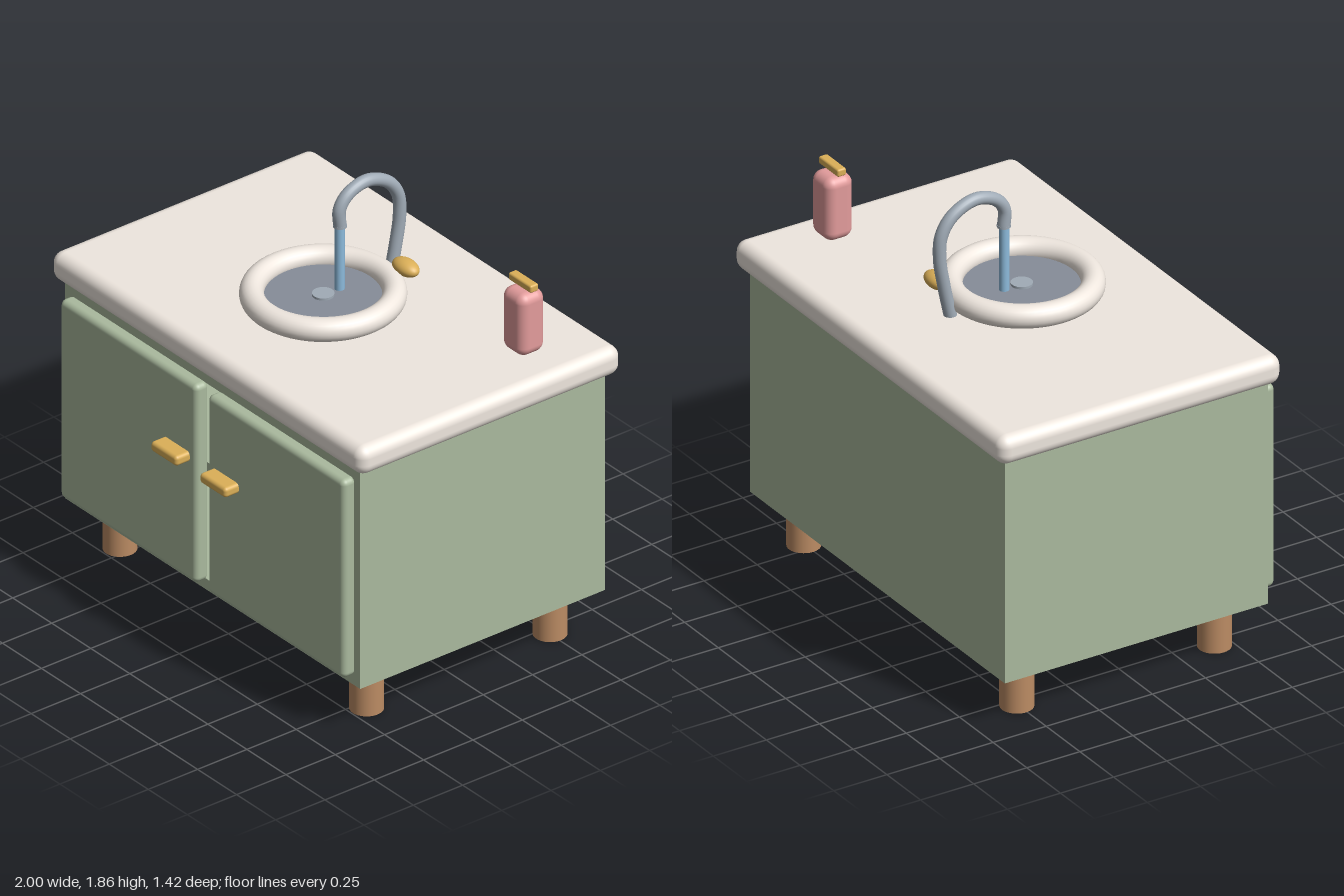
import * as THREE from 'three';
import { RoundedBoxGeometry } from 'three/addons/geometries/RoundedBoxGeometry.js';

const mat = (color, side = THREE.FrontSide) => new THREE.MeshStandardMaterial({ color, side });
const GREEN = mat(0xaaba9e), STONE = mat(0xefe7df), GOLD = mat(0xdcb058), WOOD = mat(0xbc8c64);
const METAL = mat(0xa0abb6), WATER = mat(0x8dbbdc), BASIN = mat(0x868d99), PINK = mat(0xe39c9c);

export function createModel() {
  const model = new THREE.Group();
  model.name = 'sinkCabinet';

  const add = (name, geometry, material, x, y, z) => {
    const mesh = new THREE.Mesh(geometry, material);
    mesh.name = name;
    mesh.position.set(x, y, z);
    model.add(mesh);
    return mesh;
  };
  const box = (name, m, w, h, d, x, y, z) => add(name, new THREE.BoxGeometry(w, h, d), m, x, y, z);
  const soft = (name, m, w, h, d, r, x, y, z) =>
    add(name, new RoundedBoxGeometry(w, h, d, 5, r), m, x, y, z);

  // Cabinet carcass, open at the front behind the doors
  box('cabinetFloor', GREEN, 1.89, 0.05, 1.24, 0, 0.24, -0.04);
  box('cabinetTop', GREEN, 1.89, 0.05, 1.24, 0, 1.195, -0.04);
  box('cabinetBack', GREEN, 1.79, 0.905, 0.05, 0, 0.7175, -0.635);
  box('shelf', GREEN, 1.79, 0.045, 1.12, 0, 0.7175, -0.05);

  // Mirrored side walls, doors, handles and legs
  for (const [side, s] of [['left', 1], ['right', -1]]) {
    box(side + 'Wall', GREEN, 0.05, 0.905, 1.24, s * 0.92, 0.7175, -0.04);
    soft(side + 'Door', GREEN, 0.875, 0.915, 0.07, 0.025, s * 0.4725, 0.7175, 0.603);
    soft(side + 'DoorHandle', GOLD, 0.167, 0.046, 0.085, 0.016, s * 0.157, 0.833, 0.665);
    for (const [end, z] of [['Front', 0.425], ['Back', -0.505]]) {
      add(side + end + 'Leg', new THREE.CylinderGeometry(0.07, 0.07, 0.215, 32), WOOD, s * 0.79, 0.1075, z);
    }
  }

  // Countertop
  soft('countertop', STONE, 2, 0.13, 1.33, 0.05, 0, 1.285, -0.045);

  // Rounded dish on the shelf, seen between the doors
  const dish = [[0, 0], [0.24, 0], [0.24, 0.02], [0.27, 0.03], [0.295, 0.055],
    [0.3, 0.085], [0.295, 0.115], [0.27, 0.14], [0.24, 0.15], [0, 0.15]];
  add('storedDish', new THREE.LatheGeometry(dish.map(p => new THREE.Vector2(...p)), 48), STONE, 0, 0.74, 0);

  // Sink: rim, basin floor and drain
  add('sinkRim', new THREE.TorusGeometry(0.285, 0.05, 24, 64), STONE, 0, 1.4, 0.02).rotation.x = Math.PI / 2;
  add('sinkBasin', new THREE.CylinderGeometry(0.25, 0.25, 0.04, 48), BASIN, 0, 1.37, 0.02);
  add('drain', new THREE.CylinderGeometry(0.045, 0.045, 0.02, 32), METAL, 0, 1.39, 0.02);

  // Gooseneck faucet, capped at the nozzle, with a stream of water
  const path = [[1.34, -0.315], [1.48, -0.345], [1.62, -0.367], [1.72, -0.358], [1.795, -0.305],
    [1.838, -0.2], [1.81, -0.105], [1.755, -0.063], [1.675, -0.065]];
  const curve = new THREE.CatmullRomCurve3(path.map(([y, z]) => new THREE.Vector3(0, y, z)));
  add('faucet', new THREE.TubeGeometry(curve, 64, 0.027, 20), METAL, 0, 0, 0);
  add('nozzleCap', new THREE.CylinderGeometry(0.028, 0.028, 0.01, 20), METAL, 0, 1.68, -0.065);
  add('waterStream', new THREE.CylinderGeometry(0.021, 0.021, 0.3, 20), WATER, 0, 1.53, -0.063);

  // Tap knob
  add('tapKnob', new THREE.SphereGeometry(1, 32, 20), GOLD, 0.115, 1.452, -0.308).scale.set(0.07, 0.034, 0.043);

  // Soap bottle with pump
  soft('soapBottle', PINK, 0.14, 0.285, 0.13, 0.042, 0.79, 1.508, -0.37);
  soft('soapPump', GOLD, 0.145, 0.034, 0.042, 0.009, 0.79, 1.677, -0.37);

  return model;
}
